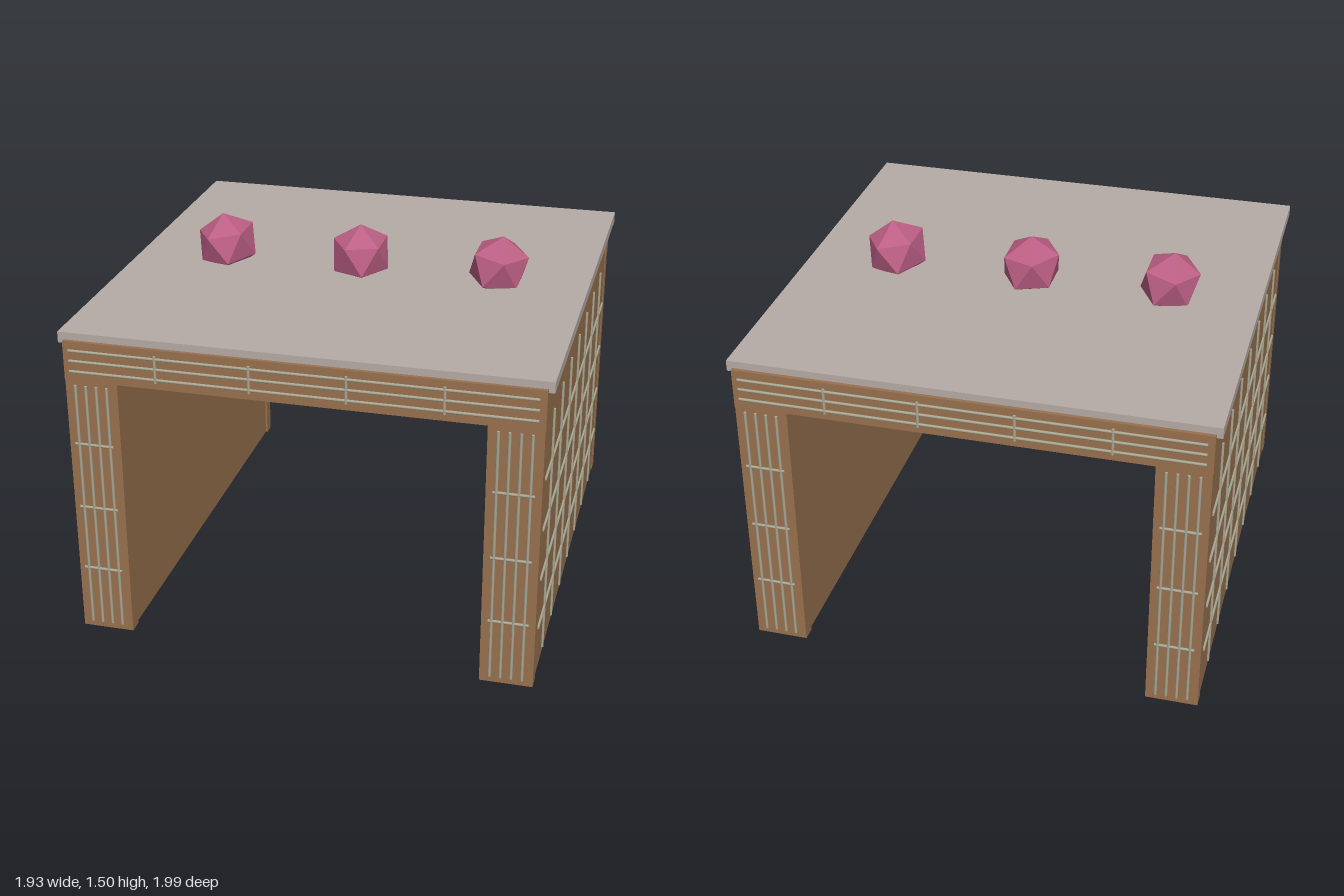
import * as THREE from 'three';

const mat = (name, color, flatShading = false) => {
  const m = new THREE.MeshStandardMaterial({ color, flatShading });
  m.name = name;
  return m;
};

export function createModel() {
  const brown = mat('brown clay', 0x99714f);
  const stone = mat('pale stone', 0xb7aca6);
  const metal = mat('grey green rod', 0xaaa894);
  const pink = mat('pink crystal', 0xbc5f84, true);
  const model = new THREE.Group();
  model.name = 'archway';

  const add = (parent, name, geometry, material) => {
    const mesh = new THREE.Mesh(geometry, material);
    mesh.name = name;
    parent.add(mesh);
    return mesh;
  };
  // Box given by its minimum and maximum corners
  const box = (parent, name, a, b, material) => {
    const g = new THREE.BoxGeometry(b[0] - a[0], b[1] - a[1], b[2] - a[2]);
    g.translate((a[0] + b[0]) / 2, (a[1] + b[1]) / 2, (a[2] + b[2]) / 2);
    return add(parent, name, g, material);
  };
  // Thin rod between two points
  const rod = (parent, name, a, b, r = 0.006) => {
    const p = new THREE.Vector3(...a), q = new THREE.Vector3(...b);
    const d = q.clone().sub(p);
    const mesh = add(parent, name, new THREE.CylinderGeometry(r, r, d.length(), 8), metal);
    mesh.position.copy(p).add(q).multiplyScalar(0.5);
    mesh.quaternion.setFromUnitVectors(new THREE.Vector3(0, 1, 0), d.normalize());
  };

  // Roof slab and the block beneath it
  box(model, 'roofSlab', [-0.967, 1.27, -0.967], [0.967, 1.315, 0.967], stone);
  box(model, 'ceilingBlock', [-0.937, 1.13, -0.93], [0.937, 1.272, 0.93], brown);

  for (const s of [1, -1]) {
    // Side wall with its grid of rods
    const side = new THREE.Group();
    side.name = s > 0 ? 'leftWall' : 'rightWall';
    model.add(side);
    const x0 = 0.735, x1 = 0.937;
    box(side, 'wallPanel', [Math.min(s * x0, s * x1), 0, -0.93], [Math.max(s * x0, s * x1), 1.13, 0.93], brown);
    const x = s * 0.94;
    for (let i = -3; i <= 3; i++) rod(side, 'uprightRod', [x, 0.03, i * 0.245], [x, 1.1, i * 0.245]);
    for (let i = 0; i < 4; i++) rod(side, 'crossRod', [x, 0.225 + i * 0.22, -0.905], [x, 0.225 + i * 0.22, 0.905]);
  }

  // Front and back portals: lintel, posts and their rods
  for (const s of [1, -1]) {
    const portal = new THREE.Group();
    portal.name = s > 0 ? 'frontPortal' : 'backPortal';
    model.add(portal);
    const zMin = Math.min(s * 0.925, s * 0.983), zMax = Math.max(s * 0.925, s * 0.983);
    const z = s * 0.991;
    box(portal, 'lintel', [-0.943, 1.12, zMin], [0.943, 1.285, zMax], brown);
    for (const y of [1.163, 1.207, 1.25]) rod(portal, 'lintelRod', [-0.917, y, z], [0.917, y, z]);
    for (const x of [-0.565, -0.19, 0.19, 0.565]) rod(portal, 'lintelTie', [x, 1.15, z], [x, 1.262, z]);

    for (const side of [1, -1]) {
      const a = Math.min(side * 0.727, side * 0.941), b = Math.max(side * 0.727, side * 0.941);
      box(portal, 'post', [a, 0, zMin], [b, 1.12, zMax], brown);
      for (let i = 0; i < 4; i++) {
        const x = side * (0.769 + i * 0.043);
        rod(portal, 'postRod', [x, 0.03, z], [x, 1.105, z]);
      }
      for (const y of [0.285, 0.567, 0.85]) rod(portal, 'postTie', [side * 0.755, y, z], [side * 0.915, y, z]);
    }
  }

  // Three faceted crystals half sunk into the roof
  for (const i of [-1, 0, 1]) {
    const g = new THREE.IcosahedronGeometry(0.132, 0);
    g.rotateZ(Math.atan(2 / (1 + Math.sqrt(5))) * (i > 0 ? -1 : 1));
    g.rotateZ(-i * 0.12);
    g.scale(1, 0.97, 1.2);
    add(model, 'crystal', g, pink).position.set(i * 0.59, 1.376, 0);
  }

  return model;
}
